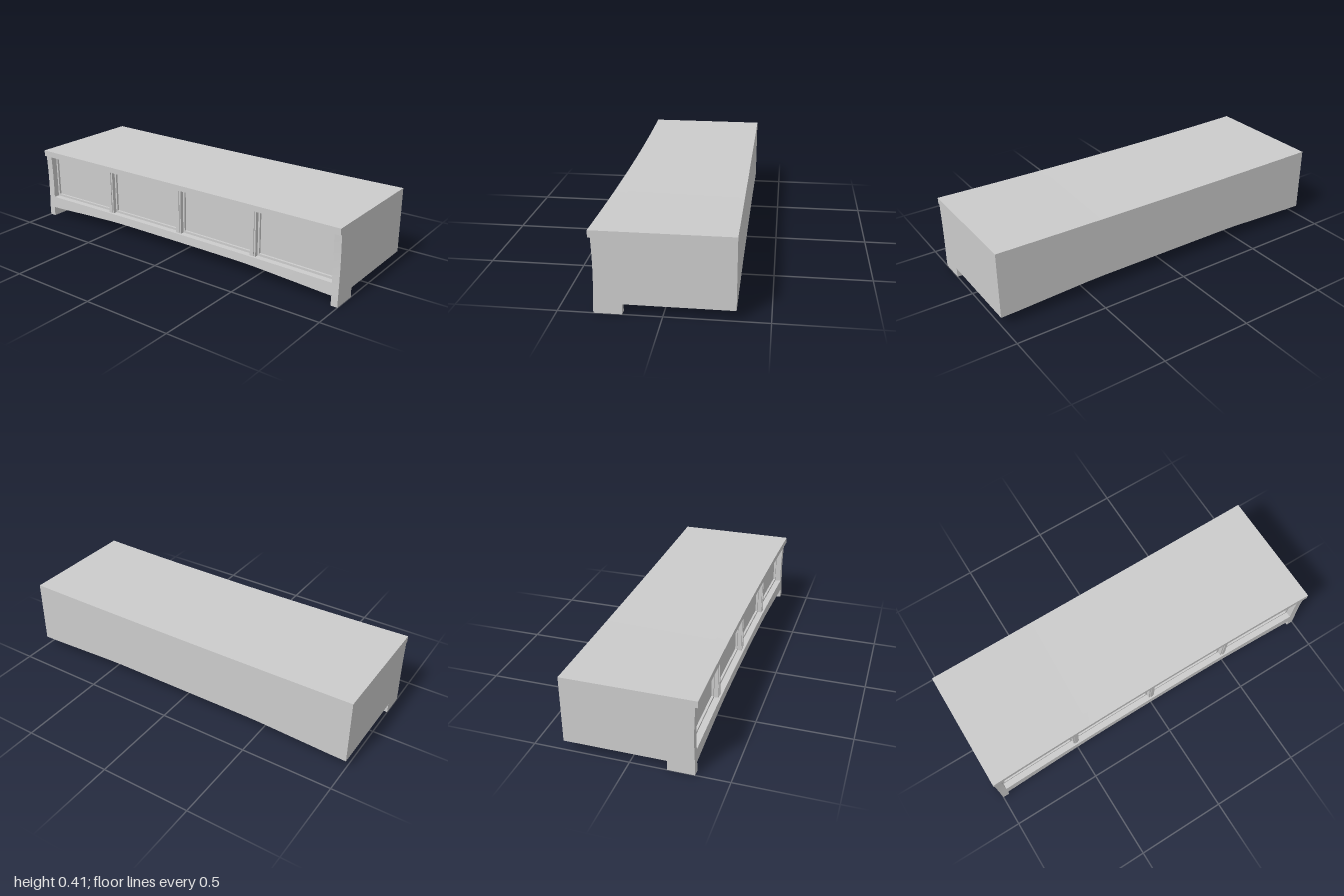
import * as THREE from 'three';
import { toCreasedNormals } from 'three/addons/utils/BufferGeometryUtils.js';

const material = new THREE.MeshStandardMaterial({ color: 0xcccccc });

// Gentle wear: bowed front, sagging top, arched underside, hollow stiles.
function warp(geometry) {
  const p = geometry.attributes.position;
  for (let i = 0; i < p.count; i++) {
    const x = p.getX(i), y = p.getY(i), z = p.getZ(i);
    const middle = 1 - x * x;
    let newY = y, newZ = z;
    if (y > 0.4) newY -= 0.005 * middle;
    if (y > 0.05 && y < 0.06) {
      newY += 0.022 * THREE.MathUtils.clamp((0.963 - Math.abs(x)) / 0.5, 0, 1);
    }
    if (z > 0.2 && y > 0.05) newZ -= 0.013 * middle;
    if (z > 0.32 && y > 0.06 && y < 0.38) newZ -= 0.005 * Math.sin(Math.PI * (y - 0.05) / 0.33);
    p.setXYZ(i, x, newY, newZ);
  }
  return toCreasedNormals(geometry, 0.5);
}

// Box given by its extents along each axis.
function slab(name, [x0, x1], [y0, y1], [z0, z1], segX = 1, segY = 1) {
  const g = new THREE.BoxGeometry(x1 - x0, y1 - y0, z1 - z0, segX, segY, 1);
  g.translate((x0 + x1) / 2, (y0 + y1) / 2, (z0 + z1) / 2);
  const mesh = new THREE.Mesh(warp(g), material);
  mesh.name = name;
  return mesh;
}

export function createModel() {
  const cabinet = new THREE.Group();
  cabinet.name = 'lowCabinet';

  // Main case and the overhanging front edge of its top
  cabinet.add(slab('case', [-1, 1], [0.0525, 0.415], [-0.34, 0.27], 24));
  cabinet.add(slab('topEdge', [-1, 1], [0.38, 0.415], [0.27, 0.34], 24));

  // Front apron, also the ledge below the doors
  cabinet.add(slab('apron', [-1, 1], [0.0525, 0.12], [0.27, 0.327], 24));

  // Stiles and front feet on both ends
  for (const side of [-1, 1]) {
    const span = (a, b) => (side > 0 ? [a, b] : [-b, -a]);
    const label = side > 0 ? 'left' : 'right';
    cabinet.add(slab(label + 'Stile', span(0.96, 1), [0.12, 0.38], [0.27, 0.327], 1, 6));
    cabinet.add(slab(label + 'Foot', span(0.963, 1), [0, 0.0525], [0.19, 0.327]));
  }

  // Dividers between the doors, each with a narrow raised bead
  const dividers = [-0.5, 0, 0.49];
  for (const x of dividers) {
    cabinet.add(slab('divider', [x - 0.017, x + 0.017], [0.12, 0.38], [0.27, 0.311]));
    cabinet.add(slab('dividerBead', [x - 0.008, x + 0.008], [0.125, 0.38], [0.311, 0.316]));
  }

  // Four doors with slim raised frames
  const edges = [-0.977, ...dividers, 0.977];
  for (let i = 0; i < 4; i++) {
    const a = edges[i] + 0.017, b = edges[i + 1] - 0.017;
    const door = new THREE.Group();
    door.name = 'door';
    door.add(slab('panel', [a, b], [0.12, 0.38], [0.27, 0.278], 6));
    door.add(slab('lowerRail', [a, b], [0.12, 0.132], [0.278, 0.29], 6));
    door.add(slab('upperRail', [a, b], [0.37, 0.38], [0.278, 0.29], 6));
    door.add(slab('sideRail', [a, a + 0.01], [0.132, 0.37], [0.278, 0.29]));
    door.add(slab('sideRail', [b - 0.01, b], [0.132, 0.37], [0.278, 0.29]));
    cabinet.add(door);
  }
  return cabinet;
}
